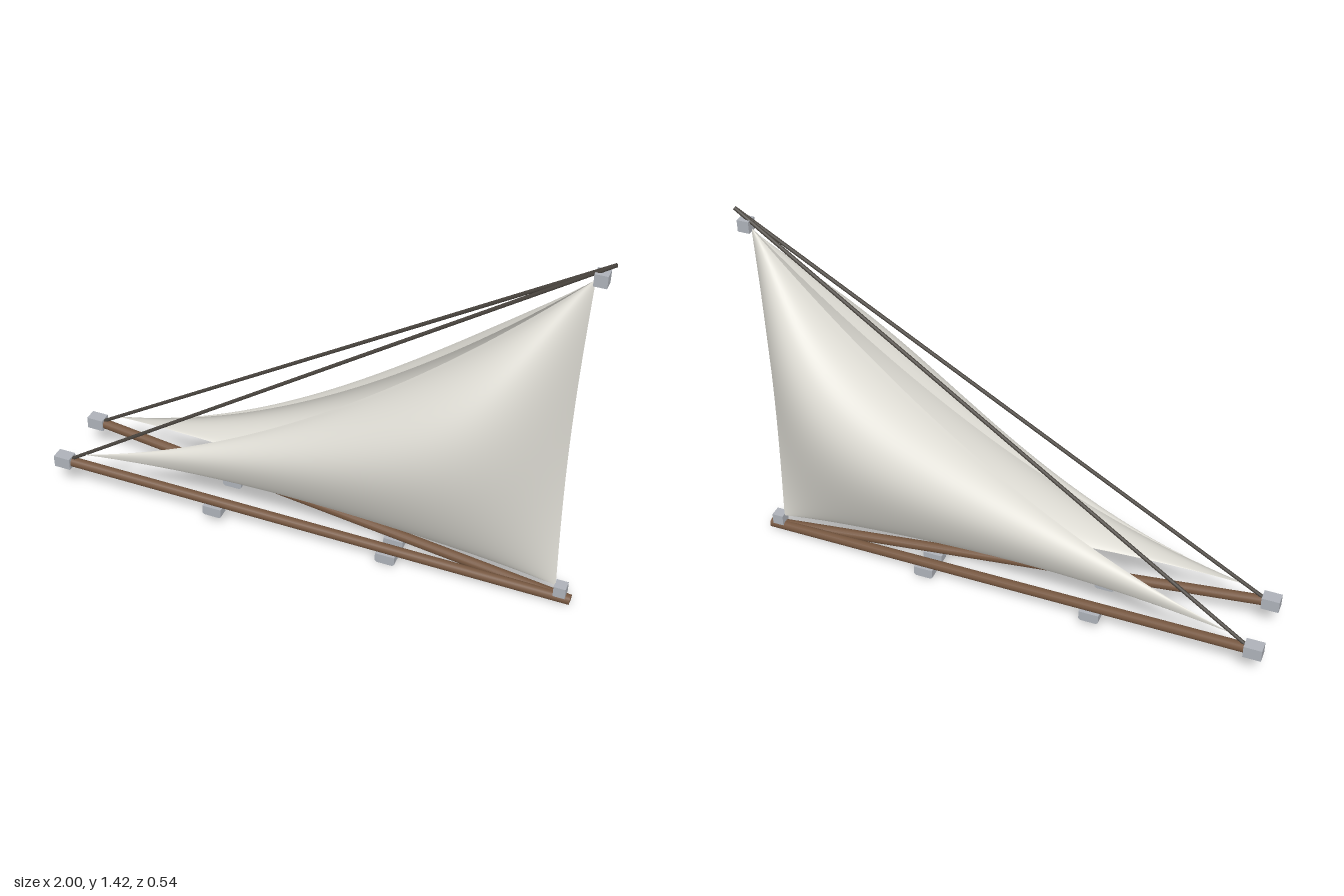
import * as THREE from 'three';

const V = (x, y, z) => new THREE.Vector3(x, y, z);

// Straight round bar between two points
function bar(name, a, b, radius, sides, material) {
  const dir = b.clone().sub(a);
  const mesh = new THREE.Mesh(new THREE.CylinderGeometry(radius, radius, dir.length(), sides), material);
  mesh.position.copy(a).add(b).multiplyScalar(0.5);
  mesh.quaternion.setFromUnitVectors(V(0, 1, 0), dir.normalize());
  mesh.name = name;
  return mesh;
}

function block(name, x, y, z, w, h, d, material) {
  const mesh = new THREE.Mesh(new THREE.BoxGeometry(w, h, d), material);
  mesh.position.set(x, y, z);
  mesh.name = name;
  return mesh;
}

// Foot pad with chamfered lower edges
function pad(x, y, z, material) {
  const w = 0.0375, h = 0.02, c = 0.007;
  const shape = new THREE.Shape([[-w, h], [-w, -h + c], [-w + c, -h], [w - c, -h], [w, -h + c], [w, h]]
    .map(([px, py]) => new THREE.Vector2(px, py)));
  const geometry = new THREE.ExtrudeGeometry(shape, { depth: 0.04, bevelEnabled: false });
  geometry.translate(0, 0, -0.02);
  const mesh = new THREE.Mesh(geometry, material);
  mesh.position.set(x, y, z);
  mesh.name = 'footPad';
  return mesh;
}

// Billowing triangular sail: u runs from luff to clew, v from foot to leech.
// Foot and leech lie above the boom; the belly is fullest towards the leech.
function sailGeometry(side) {
  const nu = 48, nv = 40, pos = [], index = [];
  const quad = (a, q, b, t) => a * (1 - t) ** 2 + 2 * q * t * (1 - t) + b * t * t;
  for (let i = 0; i <= nu; i++) {
    const u = (i / nu) ** 1.5;
    const foot = quad(0.07, 0.285, 0.2, u);
    const leech = quad(1.35, 0.43, 0.2, u);
    const belly = 0.59 * (1 - Math.exp(-u / 0.2)) * (1 - u) ** 2;
    for (let j = 0; j <= nv; j++) {
      const v = 0.5 - 0.5 * Math.cos(Math.PI * j / nv);
      const fullness = Math.max(0, Math.sin(Math.PI * v ** 1.7)) ** 0.42;
      const x = 0.94 - 1.82 * u - 0.015 * Math.sin(Math.PI * v) * (1 - u);
      pos.push(x, foot + (leech - foot) * v, side * (0.13 * u + belly * fullness));
      if (i < nu && j < nv) {
        const a = i * (nv + 1) + j, b = a + nv + 1;
        if (side > 0) index.push(a, a + 1, b, b, a + 1, b + 1);
        else index.push(a, b, a + 1, b, b + 1, a + 1);
      }
    }
  }
  const geometry = new THREE.BufferGeometry();
  geometry.setAttribute('position', new THREE.Float32BufferAttribute(pos, 3));
  geometry.setIndex(index);
  geometry.computeVertexNormals();
  return geometry;
}

export function createModel() {
  const canvas = new THREE.MeshStandardMaterial({ color: 0xe2e0d8, side: THREE.DoubleSide });
  canvas.name = 'canvas';
  const wood = new THREE.MeshStandardMaterial({ color: 0x75563f });
  wood.name = 'wood';
  const rope = new THREE.MeshStandardMaterial({ color: 0x49443e });
  rope.name = 'rope';
  const metal = new THREE.MeshStandardMaterial({ color: 0xadb1b8 });
  metal.name = 'metal';

  const model = new THREE.Group();
  model.name = 'twinSail';

  for (const side of [1, -1]) {
    const half = new THREE.Group();
    half.name = side > 0 ? 'frontHalf' : 'backHalf';
    const sail = new THREE.Mesh(sailGeometry(side), canvas);
    sail.name = 'sail';
    half.add(sail);

    // Boom, stay and the fitting where they meet
    half.add(bar('boom', V(-0.96, 0.15, 0.13 * side), V(0.997, 0.02, 0), 0.019, 16, wood));
    half.add(bar('stay', V(-0.94, 0.16, 0.128 * side), V(0.997, 1.415, 0), 0.007, 8, rope));
    half.add(block('clewFitting', -0.967, 0.15, 0.13 * side, 0.066, 0.048, 0.048, metal));

    // Pads under the boom
    half.add(pad(-0.357, 0.07, 0.091 * side, metal));
    half.add(pad(0.318, 0.027, 0.045 * side, metal));
    model.add(half);
  }

  // Fittings at both ends of the shared luff
  model.add(block('headFitting', 0.959, 1.36, 0, 0.044, 0.044, 0.044, metal));
  model.add(block('tackFitting', 0.959, 0.058, 0, 0.044, 0.044, 0.044, metal));
  return model;
}
